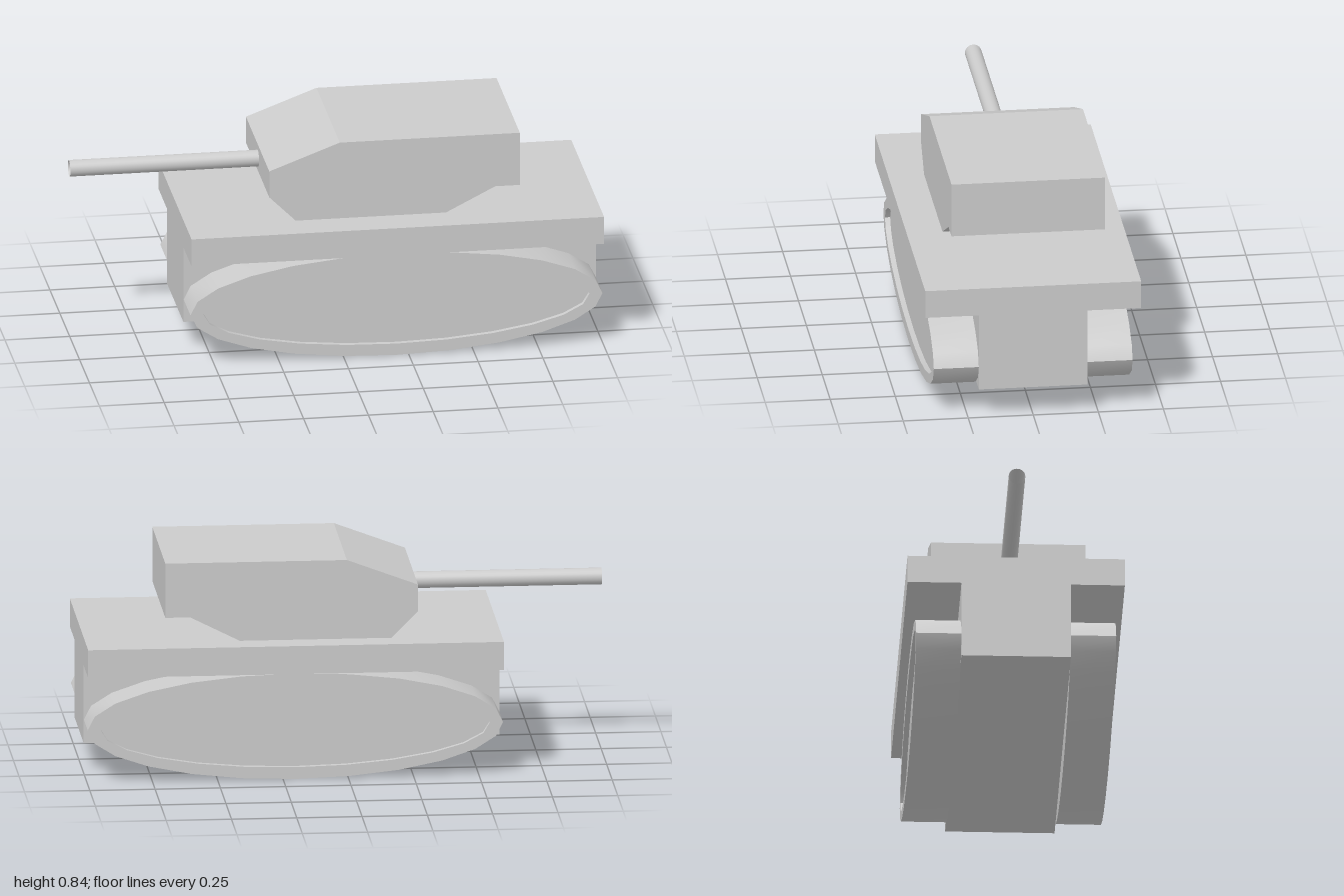
import * as THREE from 'three';
import { toCreasedNormals } from 'three/addons/utils/BufferGeometryUtils.js';

const material = new THREE.MeshStandardMaterial({ color: 0xcccccc });
const openMaterial = new THREE.MeshStandardMaterial({ color: 0xcccccc, side: THREE.DoubleSide });

function addMesh(parent, name, geometry, x, y, z, mat = material) {
  const mesh = new THREE.Mesh(geometry, mat);
  mesh.name = name;
  mesh.position.set(x, y, z);
  parent.add(mesh);
  return mesh;
}

function ellipsePoints(rx, ry, sides = 24) {
  return Array.from({ length: sides }, (_, i) => {
    const a = (i / sides) * Math.PI * 2;
    return new THREE.Vector2(rx * Math.cos(a), ry * Math.sin(a));
  });
}

const extrude = (shape, depth) =>
  new THREE.ExtrudeGeometry(shape, { depth, bevelEnabled: false });

// Elliptical track: a raised rim around a slightly recessed side panel
function createTrack(name) {
  const track = new THREE.Group();
  track.name = name;
  const width = 0.173, recess = 0.02;
  const rim = new THREE.Shape(ellipsePoints(0.795, 0.207));
  rim.holes.push(new THREE.Path(ellipsePoints(0.745, 0.161)));
  addMesh(track, 'trackRim', toCreasedNormals(extrude(rim, width), 0.9), 0, 0, 0);
  const panel = new THREE.Shape(ellipsePoints(0.745, 0.161));
  addMesh(track, 'trackPanel', extrude(panel, width - recess), 0, 0, 0);
  return track;
}

export function createModel() {
  const tank = new THREE.Group();
  tank.name = 'tank';

  // Hull: narrow lower body under a wide deck
  addMesh(tank, 'lowerHull', new THREE.BoxGeometry(1.592, 0.305, 0.418), 0.203, 0.2685, 0);
  addMesh(tank, 'deck', new THREE.BoxGeometry(1.592, 0.11, 0.83), 0.203, 0.476, 0);

  // Tracks, one on each side, panels facing outwards
  for (const side of [1, -1]) {
    const track = createTrack(side > 0 ? 'frontTrack' : 'backTrack');
    track.position.set(0.203, 0.208, side * 0.209);
    if (side < 0) track.rotation.y = Math.PI;
    tank.add(track);
  }

  // Turret: side profile extruded across the width
  const profile = [
    [-0.17, 0.531], [0.41, 0.531], [0.6, 0.627], [0.695, 0.627],
    [0.695, 0.84], [0, 0.84], [-0.272, 0.738], [-0.272, 0.632],
  ].map(([x, y]) => new THREE.Vector2(x, y));
  addMesh(tank, 'turret', extrude(new THREE.Shape(profile), 0.59), 0, 0, -0.313);

  // Hollow gun barrel
  const barrel = new THREE.CylinderGeometry(0.032, 0.032, 0.74, 24, 1, true);
  barrel.rotateZ(Math.PI / 2);
  addMesh(tank, 'gunBarrel', barrel, -0.63, 0.683, -0.013, openMaterial);

  return tank;
}
